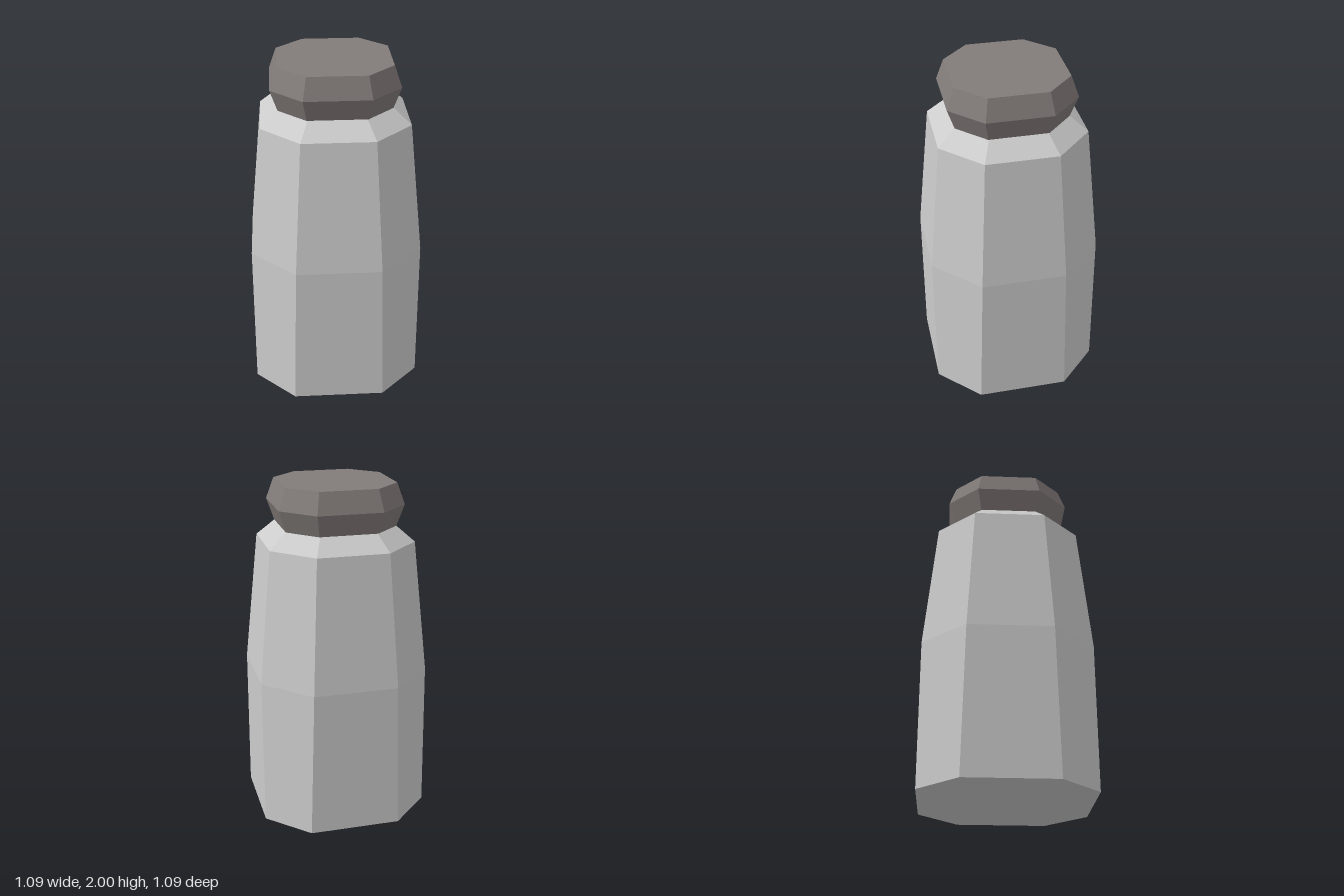
import * as THREE from 'three';

// Eight corners of a bevelled square: half extent a, half length b of its straight sides
function ring([y, a, b]) {
  return [[a, -b], [a, b], [b, a], [-b, a], [-a, b], [-a, -b], [-b, -a], [b, -a]]
    .map(([x, z]) => [x, y, z]);
}

// Skin stacked octagons from bottom to top and close both ends
function loft(name, color, levels) {
  const rings = levels.map(ring);
  const pos = [];
  const tri = (...corners) => corners.forEach((c) => pos.push(...c));
  for (let k = 0; k < rings.length - 1; k++) {
    const lo = rings[k], hi = rings[k + 1];
    for (let i = 0; i < 8; i++) {
      const j = (i + 1) % 8;
      tri(lo[i], hi[i], hi[j]);
      tri(lo[i], hi[j], lo[j]);
    }
  }
  const bottom = rings[0], top = rings[rings.length - 1];
  for (let i = 1; i < 7; i++) {
    tri(bottom[0], bottom[i], bottom[i + 1]);
    tri(top[0], top[i + 1], top[i]);
  }
  const geometry = new THREE.BufferGeometry();
  geometry.setAttribute('position', new THREE.Float32BufferAttribute(pos, 3));
  geometry.computeVertexNormals();
  const mesh = new THREE.Mesh(geometry, new THREE.MeshStandardMaterial({ color, flatShading: true }));
  mesh.name = name;
  return mesh;
}

export function createModel() {
  const model = new THREE.Group();
  model.name = 'shaker';

  // Tapered body with sloping shoulder: [height, half extent, half side]
  model.add(loft('body', 0xcccccc, [
    [0, 0.545, 0.165],
    [0.88, 0.53, 0.18],
    [1.66, 0.448, 0.154],
    [1.75, 0.346, 0.113],
  ]));

  // Darker cap, widest at its middle
  model.add(loft('cap', 0x827b79, [
    [1.75, 0.348, 0.11],
    [1.876, 0.392, 0.125],
    [2, 0.348, 0.11],
  ]));
  return model;
}
